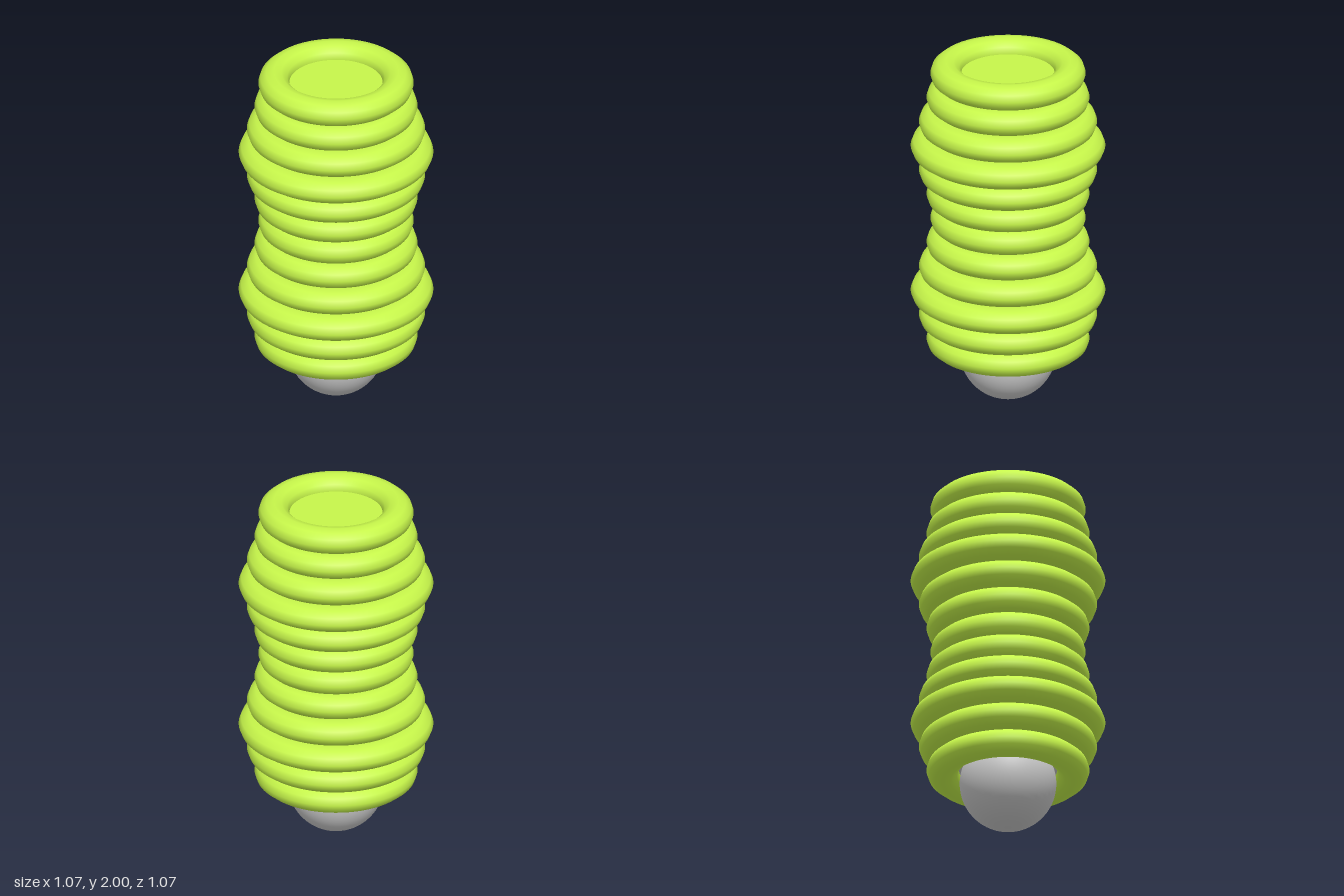
import * as THREE from 'three';

export function createModel() {
  const group = new THREE.Group();
  const green = new THREE.MeshStandardMaterial({ color: 0xc6f54a });
  const grey = new THREE.MeshStandardMaterial({ color: 0xcccccc });

  const add = (name, geometry, material, y) => {
    const mesh = new THREE.Mesh(geometry, material);
    mesh.name = name;
    mesh.position.y = y;
    group.add(mesh);
    return mesh;
  };

  // Stack of rings, each one ring widened to its outer radius, swelling twice
  const outerRadii = [0.448, 0.49, 0.535, 0.49, 0.448, 0.427];
  const pitch = 0.1437, firstY = 0.3473, halfHeight = 0.0725;
  const ringGeometry = new THREE.TorusGeometry(0.8, 0.2, 12, 96).rotateX(Math.PI / 2);
  for (let i = 0; i < 12; i++) {
    const r = outerRadii[i % 6];
    const ring = add(`ring${i + 1}`, ringGeometry, green, firstY + i * pitch);
    ring.scale.set(r, halfHeight / 0.2, r);
  }

  // Flat cap closing the hole of the top ring
  add('topCap', new THREE.CircleGeometry(0.262, 64).rotateX(-Math.PI / 2), green, firstY + 11 * pitch);

  // Plate closing the bottom ring, with the round tip below it
  add('bottomPlate', new THREE.CircleGeometry(0.275, 64).rotateX(Math.PI / 2), grey, firstY);
  add('roundTip', new THREE.SphereGeometry(0.266, 48, 32), grey, 0.267);

  return group;
}
